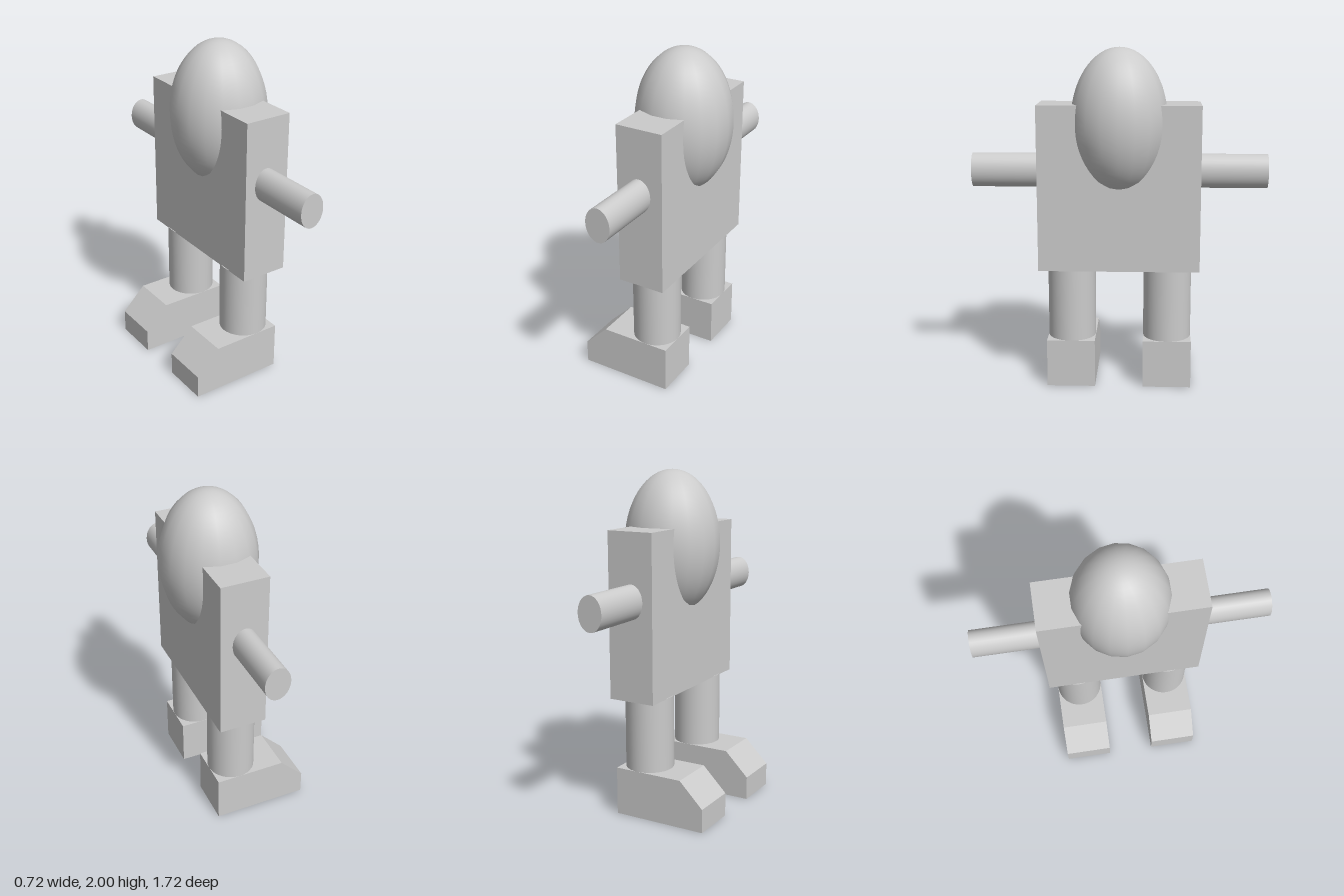
import * as THREE from 'three';

export function createModel() {
  const model = new THREE.Group();
  const material = new THREE.MeshStandardMaterial({ color: 0xcccccc });

  const add = (name, geometry, x, y, z) => {
    const mesh = new THREE.Mesh(geometry, material);
    mesh.name = name;
    mesh.position.set(x, y, z);
    model.add(mesh);
  };

  // Slab torso with an egg-shaped head sunk into its top
  add('torso', new THREE.BoxGeometry(0.285, 0.965, 0.94), 0.07, 1.1975, 0);
  add('head', new THREE.SphereGeometry(1, 18, 32).scale(0.283, 0.426, 0.283), 0.075, 1.574, 0);

  // Foot side profile with a sloped toe pointing to -x
  const profile = new THREE.Shape([
    [-0.365, 0], [0.205, 0], [0.205, 0.285], [-0.22, 0.285], [-0.365, 0.14],
  ].map(([x, y]) => new THREE.Vector2(x, y)));
  const footWidth = 0.285;
  const foot = new THREE.ExtrudeGeometry(profile, { depth: footWidth, bevelEnabled: false })
    .translate(0, 0, -footWidth / 2);

  // Legs, feet and oval arms, mirrored across z
  const leg = new THREE.CylinderGeometry(0.142, 0.142, 0.44, 32);
  const arm = new THREE.CylinderGeometry(1, 1, 0.4, 32)
    .rotateX(Math.PI / 2).scale(0.075, 0.1, 1);
  for (const [side, s] of [['front', 1], ['back', -1]]) {
    add(side + 'Leg', leg, 0.063, 0.5, s * 0.285);
    add(side + 'Foot', foot, 0, 0, s * 0.285);
    add(side + 'Arm', arm, 0.065, 1.29, s * 0.66);
  }

  return model;
}
